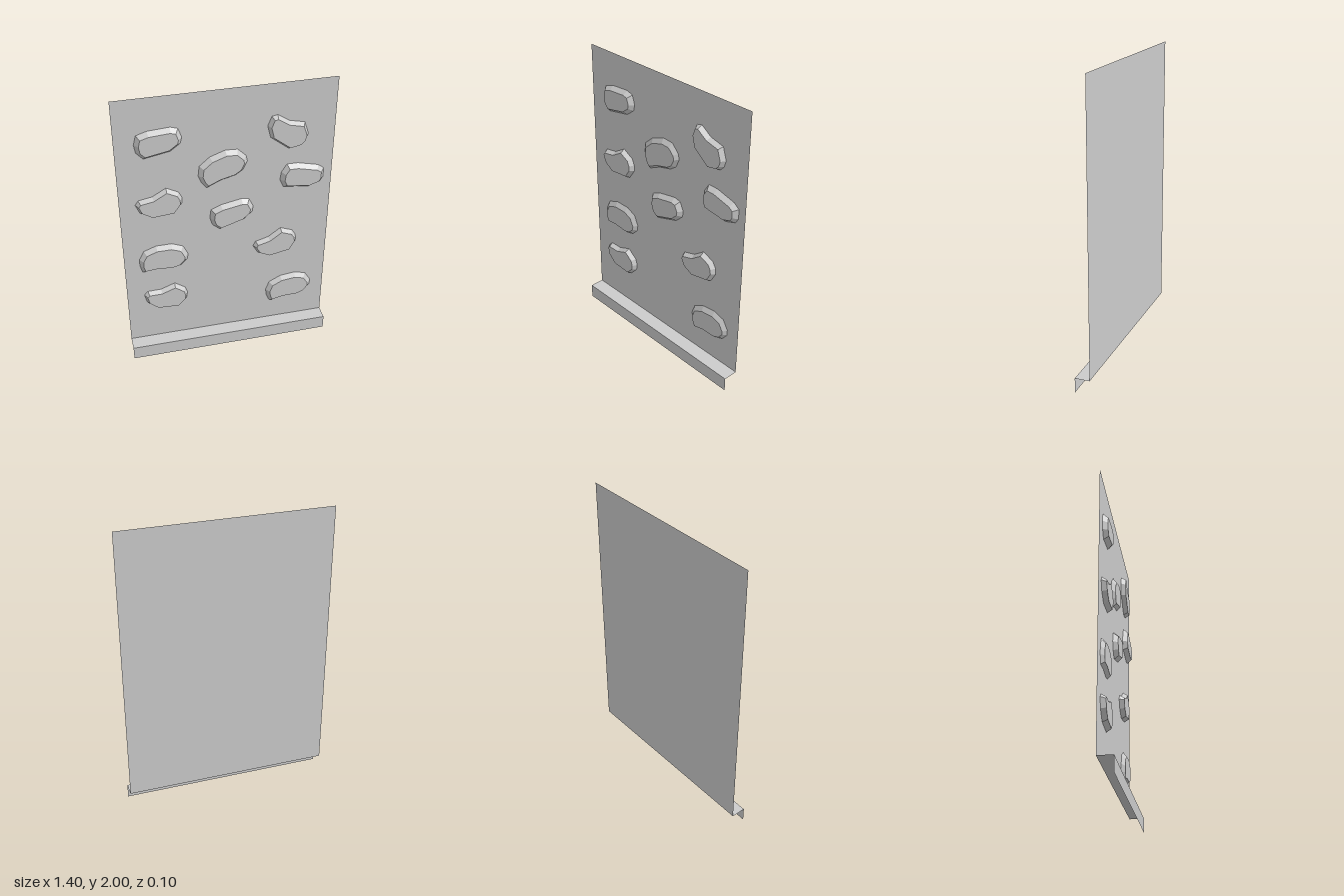
import * as THREE from 'three';

const WALL_Z = -0.05;
const material = new THREE.MeshStandardMaterial({ color: 0xcccccc, flatShading: true, side: THREE.DoubleSide });

// Counter-clockwise outlines of the three stone types, with bevel inset, bevel shift and height
const stoneTypes = {
  oval: {
    inset: 0.025, lift: 0, height: 0.032,
    outline: [[-.148, 0], [-.138, -.058], [-.095, -.106], [.074, -.074], [.138, -.026],
      [.148, .016], [.127, .079], [.079, .095], [-.063, .085], [-.132, .063]],
  },
  bean: {
    inset: 0.025, lift: -0.006, height: 0.024,
    outline: [[-.148, -.1], [-.048, -.09], [.053, -.1], [.111, -.085], [.159, -.037], [.164, .005],
      [.132, .074], [.058, .106], [-.048, .106], [-.132, .074], [-.164, .01], [-.164, -.042]],
  },
  wedge: {
    inset: 0.017, lift: 0, height: 0.032,
    outline: [[-.153, .01], [-.127, -.053], [-.053, -.1], [.1, -.085], [.148, -.016],
      [.148, .026], [.127, .069], [.048, .111], [-.042, .058], [-.132, .042]],
  },
};

// Moves every corner inwards along the bisector of its two edges
function insetOutline(points, inset, lift) {
  const n = points.length;
  return points.map((p, i) => {
    const a = p.clone().sub(points[(i + n - 1) % n]).normalize();
    const b = points[(i + 1) % n].clone().sub(p).normalize();
    const inward = new THREE.Vector2(-a.y - b.y, a.x + b.x);
    inward.multiplyScalar(2 * inset / inward.lengthSq());
    return p.clone().add(inward).add(new THREE.Vector2(0, lift));
  });
}

// Bevelled sides and a flat face; the back lies against the wall and is open
function stoneGeometry({ outline, inset, lift, height }) {
  const outer = outline.map(([x, y]) => new THREE.Vector2(x, y));
  const inner = insetOutline(outer, inset, lift);
  const n = outer.length;
  const positions = [];
  const add = (p, z) => positions.push(p.x, p.y, z);
  for (let i = 0; i < n; i++) {
    const j = (i + 1) % n;
    add(outer[i], 0); add(outer[j], 0); add(inner[j], height);
    add(outer[i], 0); add(inner[j], height); add(inner[i], height);
  }
  for (const face of THREE.ShapeUtils.triangulateShape(inner, [])) {
    for (const k of face) add(inner[k], height);
  }
  const geometry = new THREE.BufferGeometry();
  geometry.setAttribute('position', new THREE.Float32BufferAttribute(positions, 3));
  geometry.computeVertexNormals();
  return geometry;
}

export function createModel() {
  const group = new THREE.Group();

  // Thin sheets: tall wall, ledge at its foot, and skirt below the ledge
  function addSheet(name, height, y, z, tilt = 0) {
    const sheet = new THREE.Mesh(new THREE.PlaneGeometry(1.4, height), material);
    sheet.name = name;
    sheet.position.set(0, y, z);
    sheet.rotation.x = tilt;
    group.add(sheet);
  }
  addSheet('wall', 1.9, 1.05, WALL_Z);
  addSheet('ledge', 0.1, 0.1, 0, -Math.PI / 2);
  addSheet('skirt', 0.1, 0.05, 0.05);

  // Stones: type, x, y, turn in degrees
  const placements = [
    ['oval', -0.43, 1.69, 0], ['oval', 0.5, 1.31, -18], ['oval', 0.03, 1.085, 7],
    ['bean', -0.434, 0.794, 0], ['bean', -0.03, 1.455, 20], ['bean', 0.444, 0.376, 7],
    ['wedge', -0.444, 1.238, 0], ['wedge', -0.434, 0.455, -9],
    ['wedge', 0.333, 0.788, 6], ['wedge', 0.386, 1.661, -44],
  ];
  const geometries = {};
  for (const [type, x, y, turn] of placements) {
    geometries[type] ??= stoneGeometry(stoneTypes[type]);
    const stone = new THREE.Mesh(geometries[type], material);
    stone.name = type + 'Stone';
    stone.position.set(x, y, WALL_Z);
    stone.rotation.z = THREE.MathUtils.degToRad(turn);
    group.add(stone);
  }
  return group;
}
